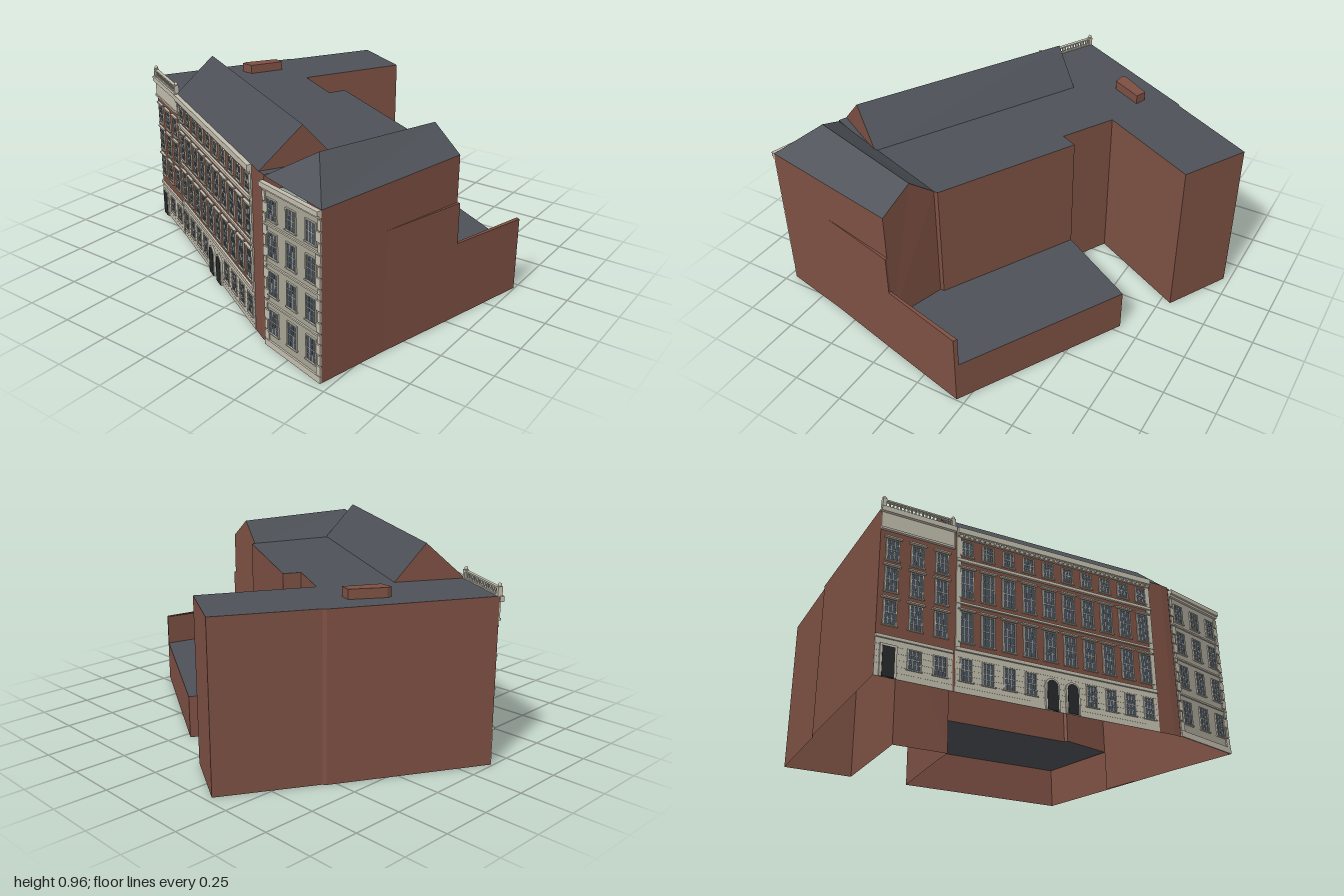
import * as THREE from 'three';
import { mergeGeometries } from 'three/addons/utils/BufferGeometryUtils.js';

const mat = (color, side = THREE.FrontSide) => new THREE.MeshStandardMaterial({ color, side });
const BRICK = mat(0x7d5043, THREE.DoubleSide);
const SLATE = mat(0x4d5157, THREE.DoubleSide);
const RENDER = mat(0xa8a496, THREE.DoubleSide);
const STONE = mat(0xc2bdae), GLASS = mat(0x46525e), DOOR = mat(0x25282b);
const H = 0.79, LOW = 0.21;

// Flat polygon through 3D points, anticlockwise from outside
function face(...p) {
  const pos = [];
  for (let i = 1; i < p.length - 1; i++) pos.push(...p[0], ...p[i], ...p[i + 1]);
  const g = new THREE.BufferGeometry();
  g.setAttribute('position', new THREE.Float32BufferAttribute(pos, 3));
  g.computeVertexNormals();
  return g;
}

// Upright walls along a plan path of [x, z] points
function walls(path, y0, y1) {
  return path.slice(1).map(([x, z], i) => {
    const [a, b] = path[i];
    return face([a, y0, b], [x, y0, z], [x, y1, z], [a, y1, b]);
  });
}

// Level surface over a plan outline
function deck(outline, y) {
  const g = new THREE.ShapeGeometry(new THREE.Shape(outline.map(([x, z]) => new THREE.Vector2(x, -z))));
  g.rotateX(-Math.PI / 2).translate(0, y, 0).deleteAttribute('uv');
  return g.toNonIndexed();
}

function part(group, name, geos, material) {
  const mesh = new THREE.Mesh(mergeGeometries(geos), material);
  mesh.name = name;
  group.add(mesh);
}

// Street front between two plan points: x runs along it, z points outwards
function facade(name, [x0, z0], [x1, z1], build) {
  const group = new THREE.Group();
  group.name = name;
  group.position.set(x0, 0, z0);
  group.rotation.y = Math.atan2(z0 - z1, x1 - x0);
  const bins = new Map();
  const add = (m, g) => {
    if (!bins.has(m)) bins.set(m, []);
    bins.get(m).push(g);
  };
  // Box by centre x, bottom y, size and how far it stands out of the wall
  const box = (m, x, y, w, h, out, from = 0) =>
    add(m, new THREE.BoxGeometry(w, h, out - from).translate(x, y + h / 2, (out + from) / 2));
  // Sash window with surround, glazing bars, sill and optional hood
  const sash = (x, y, w, h, hood = true) => {
    const t = 0.005;
    box(GLASS, x, y, w, h, 0.003);
    for (const s of [-1, 1]) box(STONE, x + s * (w + t) / 2, y, t, h, 0.007);
    box(STONE, x, y + h, w + 2 * t, t, 0.007);
    box(STONE, x, y - t, w + 4 * t, t, 0.01);
    for (const s of [-1, 1]) box(STONE, x + s * w / 6, y, 0.0016, h, 0.0045);
    for (const f of [0.25, 0.5, 0.75]) box(STONE, x, y + h * f, w, f === 0.5 ? 0.003 : 0.0016, 0.0045);
    if (hood) box(STONE, x, y + h + 0.011, w + 6 * t, 0.007, 0.013);
  };
  // Door with a round head
  const arch = (x, w, h) => {
    for (const [m, r, out] of [[STONE, w / 2 + 0.008, 0.012], [DOOR, w / 2, 0.014]]) {
      box(m, x, 0, 2 * r, h, out);
      add(m, new THREE.CylinderGeometry(r, r, out, 16, 1, false, Math.PI / 2, Math.PI)
        .rotateX(Math.PI / 2).translate(x, h, out / 2));
    }
  };
  // Rusticated ground floor courses
  const courses = (len, top, n) => {
    box(STONE, len / 2, 0, len, top, 0.002);
    for (let i = 0; i < n; i++) box(STONE, len / 2, i * top / n, len, top / n - 0.004, 0.0028);
  };
  build({ len: Math.hypot(x1 - x0, z1 - z0), add, box, sash, arch, courses });
  const names = new Map([[STONE, 'stoneTrim'], [GLASS, 'windowGlass'], [DOOR, 'doors'], [RENDER, 'renderedWall']]);
  for (const [m, geos] of bins) part(group, names.get(m), geos, m);
  return group;
}

export function createModel() {
  const model = new THREE.Group();
  model.name = 'cornerBuilding';

  // Full-height brick walls
  const courtyard = [[0.25, -0.03], [0.17, -0.07], [0.31, -0.32], [0.8, -0.06], [0.97, -0.37]];
  const street = [[0.97, -0.37], [0.55, -0.605], [0.54, -0.62], [-0.14, -0.99], [-0.3, -0.68], [-0.845, 0.31], [-0.86, 0.35]];
  part(model, 'mainWalls', [
    ...walls([...courtyard, ...street.slice(1)], 0, H),
    ...walls([[-0.12, 0.61], [-0.1, 0.61], [0.25, -0.03]], LOW, H),
  ], BRICK);

  // Flat roof around the courtyard, with a sliver beside the gable
  part(model, 'flatRoof', [
    deck([...street.slice(0, 5), [0, -0.51], [-0.54, 0.48], [-0.12, 0.61], [-0.1, 0.61], ...courtyard.slice(0, -1)], H),
    deck([[-0.845, 0.31], [-0.86, 0.35], [-0.54, 0.48]], H),
  ], SLATE);

  // Long pitched roof and its gables
  const nw = [-0.3, H, -0.68], nr = [-0.13, 0.965, -0.585], ne = [0, H, -0.51];
  const sw = [-0.845, H, 0.31], sr = [-0.68, 0.965, 0.41], se = [-0.54, H, 0.48];
  part(model, 'longRoof', [face(nw, sw, sr, nr), face(se, ne, nr, sr)], SLATE);
  part(model, 'longRoofGables', [face(ne, nw, nr), face(sw, se, sr)], BRICK);

  // Front block with a roof hipped at the street and gabled at the yard
  const fw = [-0.96, 0.77, 0.71], fe = [-0.2, H, 0.88], be = [-0.12, H, 0.61], bw = [-0.86, H - 0.005, 0.35];
  const rw = [-0.77, 0.91, 0.56], re = [-0.16, 0.895, 0.73];
  part(model, 'frontBlockRoof', [face(fw, fe, re, rw), face(be, bw, rw, re), face(bw, fw, rw)], SLATE);
  part(model, 'frontBlockWalls', [
    face([-0.96, 0, 0.71], [-0.2, 0, 0.88], fe, fw),
    face([-0.2, LOW, 0.88], [-0.12, LOW, 0.61], be, re, fe),
  ], BRICK);

  // Thicker lower front wall that runs on as a yard parapet
  const a = [-0.62, 0.786], b = [-0.2, 0.893], c = [0.21, 0.995], d = [0.22, 0.977], e = [-0.2, 0.88];
  const at = ([x, z], y) => [x, y, z];
  part(model, 'lowerFrontWall', [
    ...walls([a, b], 0, 0.57),
    face(at(b, 0), at(c, 0), at(c, 0.365), at(b, 0.375)),
    face(at(a, 0.57), at(b, 0.57), at(e, 0.57)),
    ...walls([b, e], 0.37, 0.57),
    face(at(b, 0.375), at(c, 0.365), at(d, 0.365), at(e, 0.375)),
    ...walls([c, d, e], LOW, 0.365),
  ], BRICK);

  // Low yard building
  part(model, 'yardWalls', walls([c, [0.65, 0.21], [0.25, -0.03]], 0, LOW), BRICK);
  part(model, 'yardRoof', [deck([c, [0.65, 0.21], [0.25, -0.03], [-0.1, 0.61], [-0.12, 0.61], e], LOW)], SLATE);

  // Chimney block
  const stack = [[0.2, -0.67], [0.195, -0.605], [0.35, -0.52], [0.37, -0.575], [0.225, -0.67]];
  part(model, 'chimney', [...walls([...stack, stack[0]], H, 0.835), deck(stack, 0.835)], BRICK);

  // Narrow street front with a balustrade
  model.add(facade('narrowFront', [-0.14, -0.99], [-0.3, -0.68], ({ len, add, box, sash, courses }) => {
    courses(len, 0.17, 6);
    box(STONE, len / 2, 0.17, len, 0.014, 0.01);
    box(STONE, len / 2, 0.68, len, 0.085, 0.006);
    box(STONE, len / 2, 0.68, len, 0.01, 0.012);
    box(STONE, len / 2, 0.765, len + 0.01, 0.025, 0.02);
    for (let i = 0; i < 3; i++) {
      const x = len * (i + 0.5) / 3;
      [[0.235, 0.11], [0.39, 0.11], [0.54, 0.095]].forEach(([y, h]) => sash(x, y, 0.052, h));
      if (i) sash(x, 0.055, 0.055, 0.085, false);
    }
    box(STONE, len / 6, 0, 0.075, 0.145, 0.01);
    box(DOOR, len / 6, 0, 0.055, 0.135, 0.012);
    // Balustrade
    box(STONE, len / 2, H, len, 0.006, 0.01, -0.008);
    box(STONE, len / 2, 0.822, len, 0.007, 0.01, -0.008);
    for (let i = 1; i < 20; i++) {
      add(STONE, new THREE.CylinderGeometry(0.003, 0.005, 0.03, 6).translate(len * i / 20, 0.81, 0.001));
    }
    for (const x of [0.008, len - 0.008]) {
      box(STONE, x, H, 0.018, 0.042, 0.012, -0.01);
      add(STONE, new THREE.SphereGeometry(0.009, 10, 8).translate(x, 0.839, 0.001));
    }
  }));

  // Long street front with paired round-headed doors
  model.add(facade('longFront', [-0.305, -0.67], [-0.805, 0.238], ({ len, box, sash, arch, courses }) => {
    const n = 10;
    courses(len, 0.19, 7);
    for (const [y, h, out] of [[0.19, 0.016, 0.011], [0.415, 0.01, 0.009], [0.625, 0.014, 0.012], [0.748, 0.014, 0.01], [0.762, 0.028, 0.022]]) {
      box(STONE, len / 2, y, len, h, out);
    }
    for (let i = 0; i < n; i++) {
      const x = len * (i + 0.5) / n;
      if (i === 4 || i === 5) arch(x, 0.055, 0.115);
      else sash(x, 0.055, 0.05, 0.1, false);
      sash(x, 0.235, 0.056, 0.14);
      sash(x, 0.45, 0.056, 0.135);
      sash(x, 0.66, 0.05, 0.07, false);
    }
    // Cornice brackets and corner strips
    for (let i = 0; i <= 4 * n; i++) box(STONE, 0.006 + (len - 0.012) * i / (4 * n), 0.75, 0.008, 0.012, 0.018);
    for (const x of [0.011, len - 0.011]) box(STONE, x, 0.2, 0.022, 0.55, 0.006);
  }));

  // Pale rendered end of the front block
  model.add(facade('paleFront', [-0.863, 0.345], [-0.96, 0.71], ({ len, add, box, sash }) => {
    add(RENDER, new THREE.PlaneGeometry(len, 0.765).translate(len / 2, 0.3825, 0));
    box(STONE, len / 2, 0, len, 0.03, 0.008);
    for (const y of [0.215, 0.4, 0.58]) box(STONE, len / 2, y, len, 0.008, 0.008);
    box(STONE, len / 2, 0.735, len, 0.012, 0.012);
    box(STONE, len / 2, 0.747, len, 0.022, 0.022);
    for (const y of [0.075, 0.26, 0.44, 0.61]) {
      for (let i = 0; i < 3; i++) sash(len * (i + 0.5) / 3, y, 0.055, y > 0.6 ? 0.09 : 0.11, false);
    }
    // Corner quoins
    for (let i = 0; i < 14; i++) {
      const w = i % 2 ? 0.018 : 0.028;
      for (const x of [w / 2, len - w / 2]) box(STONE, x, 0.032 + i * 0.05, w, 0.044, 0.006);
    }
  }));

  return model;
}
